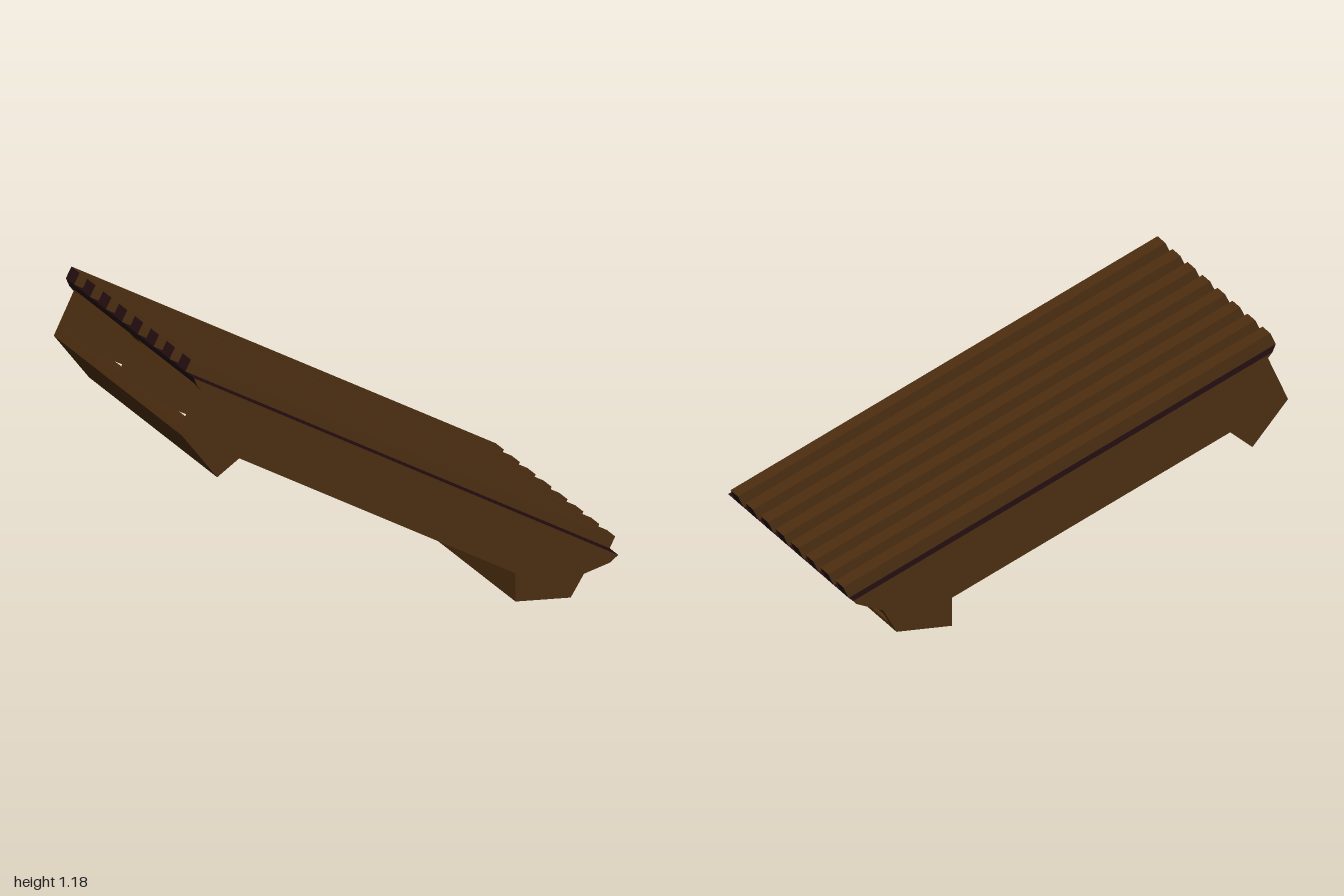
import * as THREE from 'three';

const HALF = 0.84; // half depth in z

export function createModel() {
  const model = new THREE.Group();
  const brown = new THREE.MeshStandardMaterial({ color: 0x4d2e10 });
  brown.name = 'brown wood';
  const dark = new THREE.MeshStandardMaterial({ color: 0x240d10 });
  dark.name = 'dark sheet';

  // Extrude an x-y outline from z0 to z1
  function prism(name, pts, z0, z1, material) {
    const shape = new THREE.Shape(pts.map(([x, y]) => new THREE.Vector2(x, y)));
    const geo = new THREE.ExtrudeGeometry(shape, { depth: z1 - z0, bevelEnabled: false });
    const mesh = new THREE.Mesh(geo, material);
    mesh.position.z = z0;
    mesh.name = name;
    model.add(mesh);
    return mesh;
  }

  // Cross board along the edge p-q, its thickness lying to the left of p-q
  function board(name, p, q, t, z0 = -HALF + 0.01, z1 = HALF - 0.01) {
    const dx = q[0] - p[0], dy = q[1] - p[1], l = Math.hypot(dx, dy);
    const nx = -dy / l * t, ny = dx / l * t;
    return prism(name, [p, q, [q[0] + nx, q[1] + ny], [p[0] + nx, p[1] + ny]], z0, z1, brown);
  }
  const lerp = (p, q, t) => [p[0] + (q[0] - p[0]) * t, p[1] + (q[1] - p[1]) * t];

  // Frame outline, anticlockwise from the upper end
  const eave = [-0.93, 1.095], lip = [-0.91, 1.07], tip = [-1, 0.88], keel = [-0.84, 0.68];
  const keelIn = [-0.74, 0.755], footIn = [0.51, 0.13], footA = [0.51, 0.005], footB = [0.76, 0];
  const noseA = [0.82, 0.10], noseB = [0.94, 0.14], noseC = [0.955, 0.155];
  const outline = [eave, lip, tip, keel, keelIn, footIn, footA, footB, noseA, noseB, noseC];

  // Two side panels and a middle panel
  prism('sidePanelFront', outline, HALF - 0.05, HALF, brown);
  prism('sidePanelBack', outline, -HALF, -HALF + 0.05, brown);
  prism('middlePanel', outline, -0.05, 0.05, brown);

  // Upper end: beam below the slots, rails around them
  prism('upperBeam', [tip, keel, keelIn, [-0.9, 0.835]], -HALF + 0.01, HALF - 0.01, brown);
  board('upperRailTop', lip, lerp(lip, tip, 0.22), 0.03);
  board('upperRailBottom', lerp(lip, tip, 0.82), tip, 0.03);

  // Lower end: hollow foot with slots in its sloping face
  board('footInnerWall', footIn, footA, 0.02);
  board('footBase', footA, footB, 0.012);
  board('footRailTop', lerp(footB, noseA, 0.7), noseA, 0.02);
  board('noseUnderside', noseA, noseB, 0.02);
  board('noseEdge', noseB, noseC, 0.02);

  // Roof sheet, with a brown facing on the front edge
  const sheet = [[-0.945, 1.13], eave, noseC, [0.975, 0.17]];
  prism('roofSheet', sheet, -HALF, HALF - 0.003, dark);
  const facing = sheet.map(([x, y]) => [x, y - 0.001]);
  prism('sheetFacing', facing, HALF - 0.003, HALF, brown);

  // Eight raised battens with dark ends
  const battenGeo = new THREE.BoxGeometry(2.147, 0.056, 0.108);
  const battenMats = [dark, dark, brown, brown, brown, brown];
  for (let i = 0; i < 8; i++) {
    const batten = new THREE.Mesh(battenGeo, battenMats);
    batten.name = 'batten' + (i + 1);
    batten.position.set(0.0275, 0.675, -HALF + 0.054 + i * 0.2085);
    batten.rotation.z = -Math.atan(0.5);
    model.add(batten);
  }
  return model;
}
